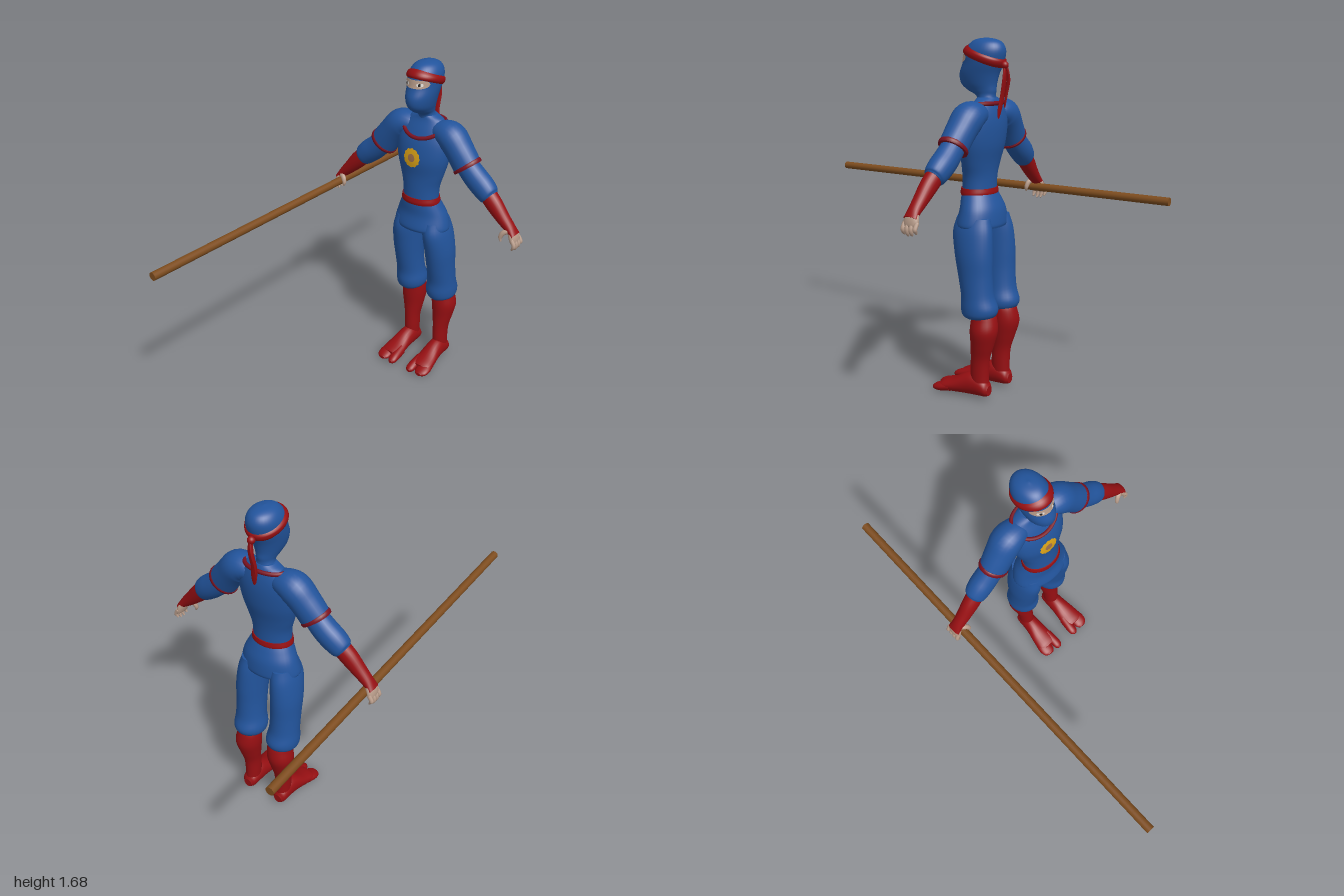
import * as THREE from 'three';

const mat = (name, color) => Object.assign(new THREE.MeshStandardMaterial({ color }), { name });
const V = (x, y, z) => new THREE.Vector3(x, y, z);

// Smooth lookup through rows of [x, y, z, radius1, radius2]
function surface(rows) {
  const curve = (f) => new THREE.CatmullRomCurve3(rows.map(f), false, 'catmullrom', 0.5);
  const pos = curve((r) => V(r[0], r[1], r[2]));
  const rad = curve((r) => V(r[3], r[4], 0));
  // Point on the skin of an upright surface at height y; angle 0 faces front
  const point = (y, a, off = 0) => {
    let lo = 0, hi = 1;
    for (let i = 0; i < 24; i++) {
      const m = (lo + hi) / 2;
      if (pos.getPoint(m).y < y) lo = m; else hi = m;
    }
    const c = pos.getPoint(lo), r = rad.getPoint(lo);
    return V(c.x + (r.x + off) * Math.sin(a), y, c.z + (r.y + off) * Math.cos(a));
  };
  return { pos, rad, point };
}

function geometry(points, index) {
  const g = new THREE.BufferGeometry();
  g.setAttribute('position', new THREE.Float32BufferAttribute(points.flatMap((p) => [p.x, p.y, p.z]), 3));
  g.setIndex(index);
  g.computeVertexNormals();
  return g;
}

// Closed skin over elliptical cross-sections; 'fixed' keeps all sections parallel
function loft(rows, { ref = V(0, 0, 1), fixed = null, sides = 24, steps = 5 } = {}) {
  const { pos, rad } = surface(rows);
  const n = (rows.length - 1) * steps, pts = [], idx = [];
  for (let i = 0; i <= n; i++) {
    const t = i / n, c = pos.getPoint(t), r = rad.getPoint(t);
    const T = fixed ? fixed.clone() : pos.getTangent(t);
    const A = ref.clone().cross(T).normalize(), B = T.clone().cross(A);
    for (let j = 0; j < sides; j++) {
      const a = (j / sides) * Math.PI * 2;
      pts.push(c.clone().addScaledVector(A, Math.max(r.x, 0.001) * Math.sin(a))
        .addScaledVector(B, Math.max(r.y, 0.001) * Math.cos(a)));
    }
  }
  for (let i = 0; i < n; i++) for (let j = 0; j < sides; j++) {
    const k = (j + 1) % sides, a = i * sides + j, b = i * sides + k;
    idx.push(a, a + sides, b, b, a + sides, b + sides);
  }
  for (const end of [0, 1]) {
    const base = pts.length;
    pts.push(...pts.slice(end * n * sides, end * n * sides + sides), pos.getPoint(end));
    for (let j = 0; j < sides; j++) {
      const a = base + j, b = base + ((j + 1) % sides);
      idx.push(base + sides, end ? b : a, end ? a : b);
    }
  }
  return geometry(pts, idx);
}

// Raised strip lying on an upright surface between two height rules
function patch(surf, a0, a1, low, high, off, flat = true, n = 32, m = 6) {
  const pts = [], idx = [];
  for (let j = 0; j <= m; j++) for (let i = 0; i <= n; i++) {
    const a = a0 + (a1 - a0) * i / n, v = j / m;
    const o = flat ? off : off * Math.sqrt(Math.sin(Math.PI * v) + 1e-9);
    pts.push(surf.point(low(a) + (high(a) - low(a)) * v, a, o));
  }
  for (let j = 0; j < m; j++) for (let i = 0; i < n; i++) {
    const a = j * (n + 1) + i, c = a + n + 1;
    idx.push(a, a + 1, c, a + 1, c + 1, c);
  }
  return geometry(pts, idx);
}

export function createModel() {
  const model = new THREE.Group();
  const blue = mat('blue cloth', 0x22549c), red = mat('red cloth', 0x960f12);
  const trim = mat('dark red trim', 0x7a1220), skin = mat('skin', 0xb89c8a);
  const wood = mat('wood', 0x7d4c1e), gold = mat('gold', 0xdba217);
  const bronze = mat('bronze', 0xa0704a), white = mat('eye white', 0xe6e2dc), dark = mat('pupil', 0x2a2320);
  const add = (name, geo, material, parent = model) => {
    const mesh = new THREE.Mesh(geo, material);
    mesh.name = name;
    parent.add(mesh);
    return mesh;
  };
  const up = { fixed: V(0, 1, 0), sides: 36 };

  // Tunic
  const torsoRows = [
    [0, 0.96, -0.277, 0.096, 0.074], [0, 1.05, -0.279, 0.1, 0.072], [0, 1.12, -0.284, 0.12, 0.076],
    [0, 1.2, -0.29, 0.142, 0.088], [0, 1.28, -0.3, 0.148, 0.085], [0, 1.34, -0.31, 0.138, 0.071],
    [0, 1.39, -0.317, 0.1, 0.052], [0, 1.415, -0.315, 0.05, 0.044]];
  const torso = surface(torsoRows);
  add('tunicTop', loft(torsoRows, up), blue);
  add('tunicSkirt', loft([[0, 0.82, -0.294, 0.148, 0.1], [0, 0.84, -0.294, 0.154, 0.104],
    [0, 0.9, -0.297, 0.138, 0.093], [0, 0.95, -0.287, 0.115, 0.083], [0, 0.99, -0.277, 0.095, 0.072]], up), blue);
  add('belt', loft([[0, 0.967, -0.278, 0.104, 0.078], [0, 0.98, -0.278, 0.104, 0.081],
    [0, 1.0, -0.278, 0.1, 0.078]], up), red);

  // Collar dipping at the front
  const collar = [];
  for (let i = 0; i < 32; i++) {
    const a = (i / 32) * Math.PI * 2;
    collar.push(torso.point(1.39 - 0.077 * Math.max(0, Math.cos(a)) ** 1.5, a, 0.002));
  }
  add('collar', new THREE.TubeGeometry(new THREE.CatmullRomCurve3(collar, true), 80, 0.01, 8, true), trim);

  // Round chest ornament laid over the cloth
  const ornament = (inner, outer, off, wave) => {
    const g = new THREE.RingGeometry(inner, outer, 48, 3), p = g.attributes.position;
    for (let i = 0; i < p.count; i++) {
      let x = p.getX(i), y = p.getY(i);
      const k = 1 + wave * Math.cos(12 * Math.atan2(y, x));
      x = x * k - 0.007; y = y * k + 1.215;
      const s = torso.point(y, 0, off), rx = torso.point(y, Math.PI / 2).x;
      const zc = torso.point(y, Math.PI / 2).z;
      p.setXYZ(i, x, y, zc + (s.z - zc) * Math.sqrt(1 - (x / rx) ** 2));
    }
    g.computeVertexNormals();
    return g;
  };
  add('chestRing', ornament(0.02, 0.047, 0.006, 0.05), gold);
  add('chestDisc', ornament(0.0, 0.025, 0.004, 0), bronze);

  // Hooded head and neck
  const headRows = [
    [0, 1.38, -0.316, 0.055, 0.046], [0, 1.42, -0.308, 0.04, 0.046], [0, 1.445, -0.285, 0.046, 0.072],
    [0, 1.475, -0.268, 0.058, 0.09], [0, 1.52, -0.27, 0.069, 0.099], [0, 1.57, -0.29, 0.076, 0.1],
    [0, 1.62, -0.3, 0.077, 0.1], [0, 1.655, -0.306, 0.062, 0.08], [0, 1.673, -0.305, 0.037, 0.049],
    [0, 1.68, -0.305, 0.003, 0.004]];
  const head = surface(headRows);
  add('hood', loft(headRows, up), blue);
  const lens = (name, mid, half, y, h, off, material) => {
    const arc = (a) => h * Math.sqrt(Math.max(0, 1 - ((a - mid) / half) ** 4));
    add(name, patch(head, mid - half, mid + half, (a) => y - arc(a), (a) => y + arc(a), off), material);
  };
  lens('eyeOpening', 0, 1.0, 1.59, 0.02, 0.003, skin);
  for (const s of [1, -1]) {
    lens(s > 0 ? 'leftEye' : 'rightEye', s * 0.45, 0.2, 1.589, 0.008, 0.005, white);
    lens(s > 0 ? 'leftPupil' : 'rightPupil', s * 0.43, 0.07, 1.589, 0.007, 0.007, dark);
  }

  // Tilted headband, knot and hanging tails
  const bandY = (a) => 1.6 + 0.034 * Math.cos(a);
  add('headband', patch(head, -Math.PI, Math.PI, (a) => bandY(a) - 0.019, (a) => bandY(a) + 0.019, 0.009, false, 64), red);
  const knot = add('headbandKnot', new THREE.SphereGeometry(0.018, 16, 12), red);
  knot.position.set(0, 1.56, -0.403);
  add('longTail', loft([[0, 1.565, -0.405, 0.01, 0.005], [0.004, 1.5, -0.405, 0.016, 0.005],
    [0, 1.42, -0.392, 0.017, 0.005], [0.008, 1.36, -0.385, 0.015, 0.005], [0.012, 1.31, -0.378, 0.004, 0.003]],
  { sides: 12 }), red);
  add('shortTail', loft([[0, 1.565, -0.408, 0.005, 0.008], [-0.012, 1.5, -0.416, 0.004, 0.01],
    [-0.016, 1.44, -0.405, 0.004, 0.009], [-0.014, 1.37, -0.398, 0.002, 0.003]], { sides: 12 }), red);

  for (const s of [1, -1]) {
    const side = s > 0 ? 'left' : 'right';
    const arm = new THREE.Group(), leg = new THREE.Group();
    arm.name = side + 'Arm';
    leg.name = side + 'Leg';
    model.add(arm, leg);
    const limb = (name, parent, rows, material, opt) =>
      add(name, loft(rows.map(([x, ...r]) => [s * x, ...r]), opt), material, parent);

    // Sleeves
    limb('upperSleeve', arm, [[0.06, 1.325, -0.312, 0.05, 0.05], [0.1, 1.34, -0.312, 0.06, 0.066],
      [0.15, 1.328, -0.31, 0.073, 0.075], [0.2, 1.275, -0.305, 0.071, 0.07], [0.252, 1.207, -0.3, 0.073, 0.064]], blue);
    limb('sleeveTrim', arm, [[0.245, 1.216, -0.3, 0.074, 0.065], [0.25, 1.21, -0.3, 0.077, 0.068],
      [0.256, 1.202, -0.3, 0.075, 0.066]], trim, { steps: 3 });
    limb('lowerSleeve', arm, [[0.235, 1.225, -0.3, 0.056, 0.052], [0.3, 1.165, -0.3, 0.06, 0.056],
      [0.345, 1.13, -0.298, 0.06, 0.056], [0.38, 1.1, -0.295, 0.054, 0.05], [0.393, 1.09, -0.294, 0.042, 0.04]], blue);

    // Gauntlet and hand
    limb('gauntlet', arm, [[0.37, 1.108, -0.295, 0.044, 0.04], [0.42, 1.06, -0.29, 0.043, 0.038],
      [0.47, 1.01, -0.287, 0.034, 0.034], [0.515, 0.968, -0.286, 0.025, 0.031],
      [0.546, 0.94, -0.286, 0.014, 0.034]], red);
    limb('palm', arm, [[0.52, 0.97, -0.286, 0.018, 0.026], [0.535, 0.94, -0.287, 0.021, 0.036],
      [0.544, 0.912, -0.288, 0.017, 0.038], [0.546, 0.902, -0.288, 0.01, 0.034]], skin);
    for (let f = 0; f < 4; f++) {
      const z = -0.257 - f * 0.021, drop = [0.006, 0, 0.002, 0.012][f];
      limb('finger', arm, [[0.542, 0.925, z, 0.01, 0.01], [0.557, 0.9, z, 0.01, 0.01],
        [0.555, 0.88 + drop, z, 0.009, 0.009], [0.546, 0.866 + drop, z, 0.004, 0.004]], skin, { sides: 10 });
    }
    limb('thumb', arm, [[0.525, 0.962, -0.27, 0.012, 0.012], [0.498, 0.95, -0.256, 0.013, 0.012],
      [0.486, 0.925, -0.25, 0.01, 0.01], [0.49, 0.905, -0.248, 0.004, 0.004]], skin, { sides: 10 });

    // Baggy trouser leg gathered below the knee
    limb('trouserLeg', leg, [[0.095, 0.398, -0.335, 0.05, 0.055], [0.097, 0.415, -0.345, 0.074, 0.08],
      [0.097, 0.45, -0.347, 0.08, 0.09], [0.1, 0.51, -0.338, 0.073, 0.08], [0.101, 0.6, -0.325, 0.07, 0.085],
      [0.1, 0.7, -0.314, 0.071, 0.095], [0.092, 0.8, -0.302, 0.066, 0.1], [0.082, 0.87, -0.3, 0.055, 0.085]],
    blue, { fixed: V(0, 1, 0), sides: 28 });

    // Boot with a split toe
    limb('bootShaft', leg, [[0.095, 0.04, -0.355, 0.036, 0.045], [0.094, 0.12, -0.351, 0.038, 0.046],
      [0.095, 0.2, -0.354, 0.041, 0.047], [0.097, 0.27, -0.365, 0.054, 0.056], [0.098, 0.34, -0.373, 0.066, 0.066],
      [0.092, 0.4, -0.37, 0.061, 0.06], [0.093, 0.44, -0.362, 0.055, 0.052]], red, { fixed: V(0, 1, 0) });
    const along = { ref: V(0, 1, 0), fixed: V(0, 0, 1) };
    limb('foot', leg, [[0.095, 0.048, -0.405, 0.022, 0.024], [0.095, 0.058, -0.385, 0.038, 0.041],
      [0.095, 0.068, -0.33, 0.043, 0.055], [0.097, 0.062, -0.28, 0.047, 0.052], [0.1, 0.045, -0.22, 0.056, 0.037],
      [0.1, 0.034, -0.17, 0.06, 0.028], [0.1, 0.03, -0.15, 0.05, 0.02]], red, along);
    limb('bigToe', leg, [[0.066, 0.04, -0.21, 0.026, 0.03], [0.062, 0.028, -0.15, 0.026, 0.024],
      [0.061, 0.021, -0.12, 0.022, 0.017], [0.061, 0.018, -0.106, 0.01, 0.008]], red, along);
    limb('outerToes', leg, [[0.115, 0.038, -0.21, 0.042, 0.028], [0.126, 0.027, -0.16, 0.04, 0.023],
      [0.126, 0.021, -0.128, 0.034, 0.016], [0.124, 0.018, -0.112, 0.018, 0.008]], red, along);
  }

  // Long staff held in the right hand
  const staff = add('staff', new THREE.CylinderGeometry(0.02, 0.02, 2, 20), wood);
  staff.rotation.x = Math.PI / 2;
  staff.position.set(-0.515, 0.927, 0);
  return model;
}
